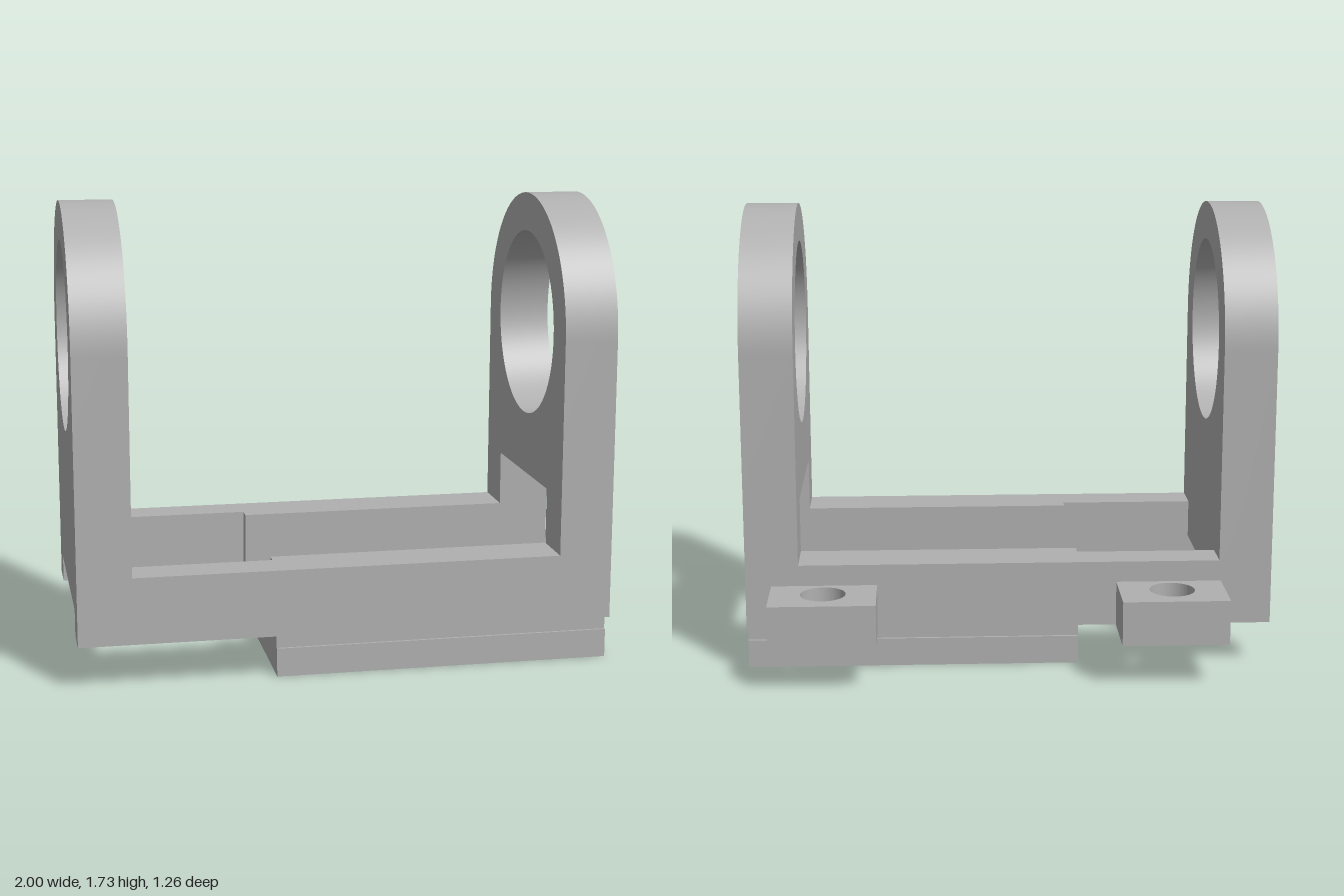
import * as THREE from 'three';
import { toCreasedNormals } from 'three/addons/utils/BufferGeometryUtils.js';

const grey = new THREE.MeshStandardMaterial({ color: 0xb0b0b0 });
grey.name = 'grey';

const polygon = (points) => new THREE.Shape(points.map(([x, y]) => new THREE.Vector2(x, y)));

function circleHole(x, y, r) {
  return new THREE.Path().absarc(x, y, r, 0, Math.PI * 2, true);
}

function extrude(shape, depth) {
  const geometry = new THREE.ExtrudeGeometry(shape, { depth, bevelEnabled: false, curveSegments: 48 });
  return toCreasedNormals(geometry, 0.5);
}

function addMesh(group, name, geometry) {
  const mesh = new THREE.Mesh(geometry, grey);
  mesh.name = name;
  group.add(mesh);
}

// Plan outline in (x, -z), raised from y0 to y1
function slab(group, name, shape, y0, y1) {
  addMesh(group, name, extrude(shape, y1 - y0).rotateX(-Math.PI / 2).translate(0, y0, 0));
}

function rectangle(x0, x1, z0, z1) {
  return polygon([[x0, -z1], [x1, -z1], [x1, -z0], [x0, -z0]]);
}

const BACK = -0.378, FRONT = 0.628, MID = 0.125, BASE = 0.17;
const STEP_X = -0.267, WALL_X = 0.8;
const CHANNEL = [-0.186, 0.44];   // narrow part of the channel, in z
const OPENING = [-0.24, 0.485];   // wide part of the channel, in z

// Upright with a round top, a bearing hole and a notch cut up from its foot
function endWall(group, name, x, notch, notchTop) {
  const radius = (FRONT - BACK) / 2, centreY = 1.227;
  const shape = new THREE.Shape();
  shape.moveTo(-FRONT, BASE);
  shape.lineTo(-notch[1], BASE);
  shape.lineTo(-notch[1], notchTop);
  shape.lineTo(-notch[0], notchTop);
  shape.lineTo(-notch[0], BASE);
  shape.lineTo(-BACK, BASE);
  shape.lineTo(-BACK, centreY);
  shape.absarc(-MID, centreY, radius, 0, Math.PI, false);
  shape.closePath();
  shape.holes.push(circleHole(-MID, centreY, 0.357));
  addMesh(group, name, extrude(shape, 0.2).rotateY(Math.PI / 2).translate(x, 0, 0));
}

// Side rail, thicker where it borders the channel
function rail(group, name, outer, narrow, wide) {
  const points = [[-WALL_X, outer], [WALL_X, outer], [WALL_X, narrow],
    [STEP_X, narrow], [STEP_X, wide], [-WALL_X, wide]];
  slab(group, name, polygon(points.map(([x, z]) => [x, -z])), BASE, 0.42);
}

export function createModel() {
  const model = new THREE.Group();
  model.name = 'bracket';

  endWall(model, 'leftEndWall', WALL_X, [-0.188, 0.443], 0.633);
  endWall(model, 'rightEndWall', -1, OPENING, 0.27);

  rail(model, 'backRail', BACK, CHANNEL[0], OPENING[0]);
  rail(model, 'frontRail', FRONT, CHANNEL[1], OPENING[1]);

  // Recessed necks joining the rails to the floor plate
  slab(model, 'backNeck', rectangle(STEP_X, 1, -0.316, CHANNEL[0]), 0.108, BASE);
  slab(model, 'frontNeck', rectangle(STEP_X, 1, CHANNEL[1], 0.574), 0.108, BASE);

  // Floor plate with four small slots on its underside
  const floor = rectangle(STEP_X, 1, -0.326, 0.584);
  for (const x of [0.04, 0.57]) {
    for (const z of [-0.265, 0.515]) {
      floor.holes.push(rectangle(x - 0.06, x + 0.06, z - 0.03, z + 0.03));
    }
  }
  slab(model, 'floorPlate', floor, 0, 0.108);

  // Mounting lugs with bolt holes
  for (const [name, x] of [['rightLug', -0.607], ['leftLug', 0.703]]) {
    const lug = rectangle(x - 0.2, x + 0.2, -0.63, BACK);
    lug.holes.push(circleHole(x, 0.484, 0.085));
    slab(model, name, lug, BASE, 0.34);
  }

  return model;
}
